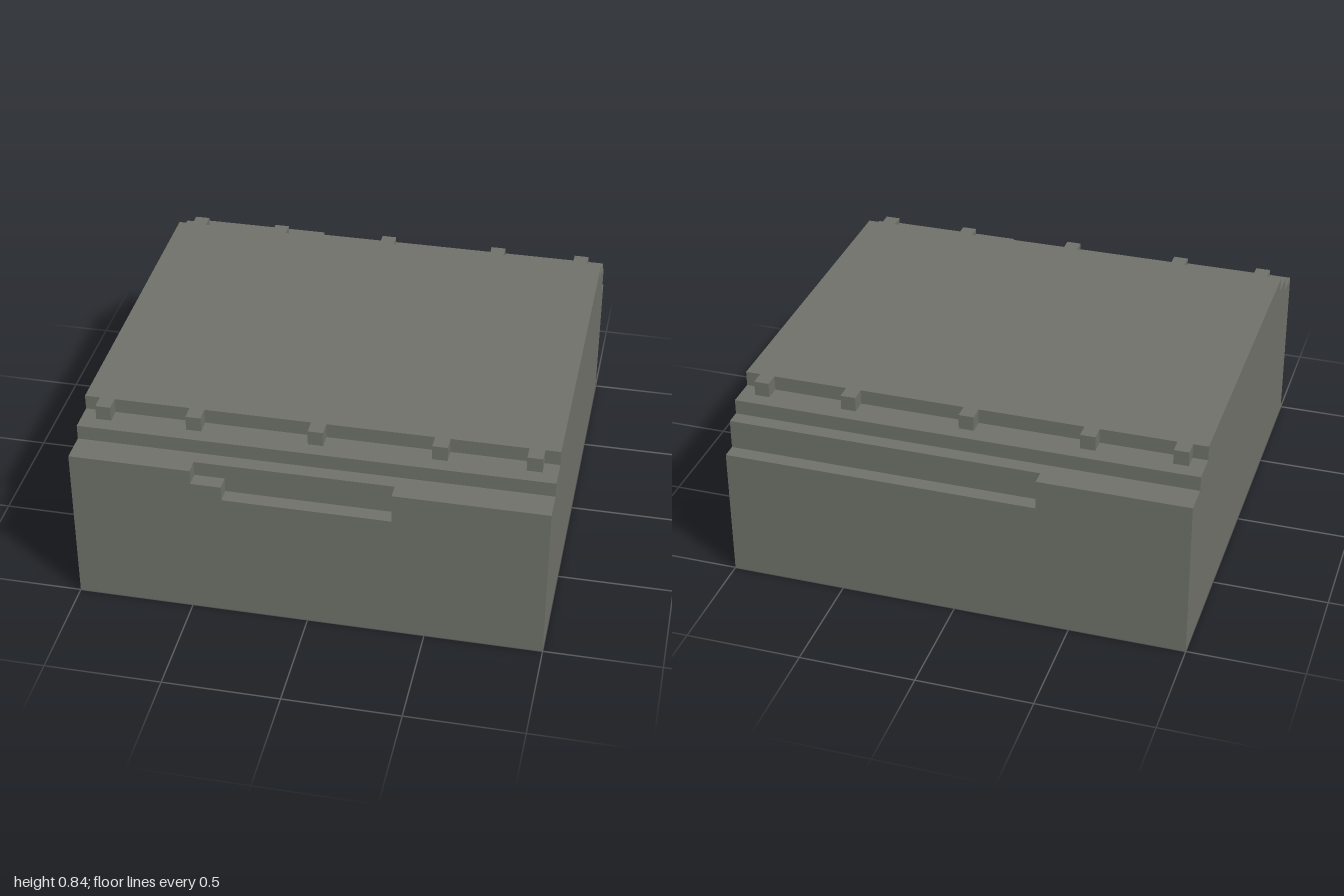
import * as THREE from 'three';

const U = 2 / 31; // one block of the grid the model is built on

export function createModel() {
  const group = new THREE.Group();
  const stone = new THREE.MeshStandardMaterial({ color: 0x6f7169 });
  stone.name = 'grey stone';

  function add(name, geometry) {
    geometry.scale(U, U, U);
    const mesh = new THREE.Mesh(geometry, stone);
    mesh.name = name;
    group.add(mesh);
  }

  function extrude(points, depth) {
    const shape = new THREE.Shape(points.map(([x, y]) => new THREE.Vector2(x, y)));
    return new THREE.ExtrudeGeometry(shape, { depth, bevelEnabled: false });
  }

  // Stepped core: half of the end profile, mirrored, run across the width
  const half = [[14.5, 0], [14.5, 11], [13.5, 11], [13.5, 12], [11.5, 12], [11.5, 13]];
  const profile = [...half, ...half.map(([z, y]) => [-z, y]).reverse()];
  add('steppedCore', extrude(profile, 31).translate(0, 0, -15.5).rotateY(Math.PI / 2));

  // Front wall with a two-level notch in its top edge
  add('frontWall', extrude([
    [-15.5, 0], [15.5, 0], [15.5, 11], [5.5, 11], [5.5, 9],
    [-5.5, 9], [-5.5, 10], [-7.5, 10], [-7.5, 11], [-15.5, 11],
  ], 1).translate(0, 0, 14.5));

  // Back wall, lowered over its left part
  add('backWall', extrude([
    [-15.5, 0], [15.5, 0], [15.5, 9], [-5.5, 9], [-5.5, 11], [-15.5, 11],
  ], 1).translate(0, 0, -15.5));

  // Small blocks along both long edges of the top
  for (const side of [1, -1]) {
    for (const x of [-14, -8, 0, 8, 14]) {
      add('edgeBlock', new THREE.BoxGeometry(1, 1, 1).translate(x, 12.5, side * 12));
    }
  }

  return group;
}
